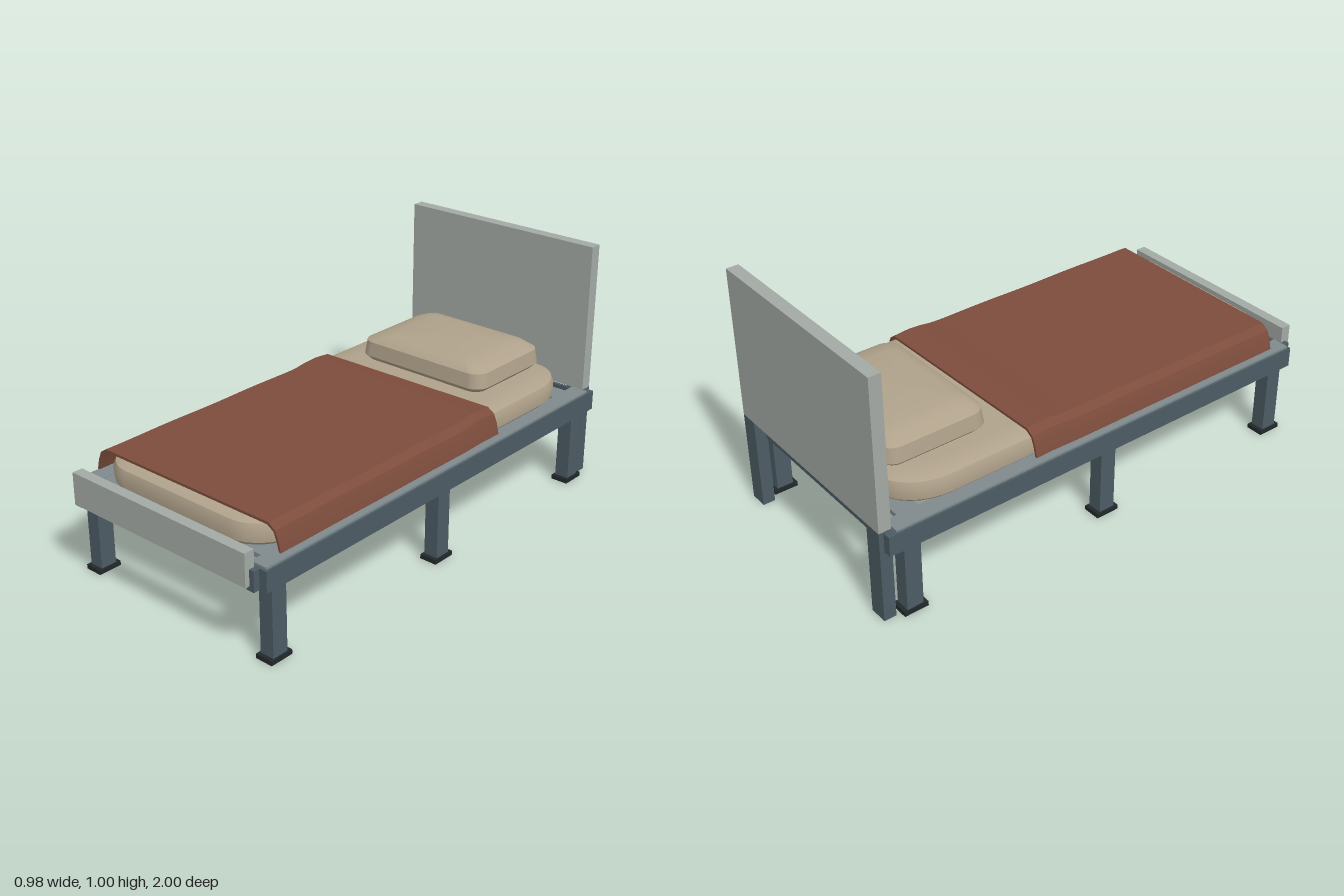
import * as THREE from 'three';
import { toCreasedNormals } from 'three/addons/utils/BufferGeometryUtils.js';

const mat = (name, color, side = THREE.FrontSide) => {
  const m = new THREE.MeshStandardMaterial({ color, side });
  m.name = name;
  return m;
};

// Stack of rounded rectangles; each level is [y, halfWidth, halfDepth, cornerX, cornerZ]
function cushionGeometry(levels, steps = 8) {
  const pos = [], idx = [], n = 4 * (steps + 1);
  for (const [y, hw, hd, cx, cz] of levels) {
    for (let q = 0; q < 4; q++) {
      const sx = q === 0 || q === 3 ? 1 : -1, sz = q < 2 ? 1 : -1;
      for (let i = 0; i <= steps; i++) {
        const a = (q + i / steps) * Math.PI / 2;
        pos.push(sx * (hw - cx) + cx * Math.cos(a), y, sz * (hd - cz) + cz * Math.sin(a));
      }
    }
  }
  const last = (levels.length - 1) * n, bottom = levels.length * n, top = bottom + 1;
  pos.push(0, levels[0][0], 0, 0, levels[levels.length - 1][0], 0);
  for (let i = 0; i < n; i++) {
    const j = (i + 1) % n;
    for (let l = 0; l < last; l += n) idx.push(l + i, l + n + i, l + j, l + j, l + n + i, l + n + j);
    idx.push(bottom, i, j, top, last + j, last + i);
  }
  const g = new THREE.BufferGeometry();
  g.setAttribute('position', new THREE.Float32BufferAttribute(pos, 3));
  g.setIndex(idx);
  return toCreasedNormals(g, 0.6);
}

// Thin sheet draped over the mattress, with a soft fold near the head end
function blanketGeometry() {
  const outer = [[0.465, 0.398], [0.455, 0.44], [0.44, 0.475], [0.41, 0.495]];
  const inner = [[0.403, 0.485], [0.432, 0.468], [0.445, 0.437], [0.456, 0.398]];
  const flip = (p) => p.map(([x, y]) => [-x, y]).reverse();
  const pts = [...outer, ...flip(outer), ...flip(inner), ...inner];
  const shape = new THREE.Shape(pts.map(([x, y]) => new THREE.Vector2(x, y)));
  const z0 = -0.34, z1 = 0.862;
  const g = new THREE.ExtrudeGeometry(shape, { depth: z1 - z0, steps: 30, bevelEnabled: false });
  const p = g.attributes.position;
  for (let i = 0; i < p.count; i++) {
    const x = p.getX(i), z = p.getZ(i) + z0;
    const lift = 0.01 * Math.exp(-(((z + 0.25) / 0.07) ** 2)) + 0.001 * Math.sin(z * 14);
    const slant = z < -0.3 ? -0.015 * x : 0;
    p.setXYZ(i, x, p.getY(i) + lift * (p.getY(i) > 0.43 ? 1 : 0.3), z + slant);
  }
  return toCreasedNormals(g, 0.5);
}

export function createModel() {
  const bed = new THREE.Group();
  bed.name = 'singleBed';
  const panel = mat('pale grey panel', 0xa3aaa5);
  const frame = mat('slate frame', 0x4c5c64);
  const ledgeGrey = mat('mid grey slats', 0x7f8a8d);
  const rubber = mat('black feet', 0x22282a);
  const linen = mat('beige linen', 0xb0a28b);
  const wool = mat('rust blanket', 0x7c4c3c, THREE.DoubleSide);

  const add = (name, geometry, material) => {
    const m = new THREE.Mesh(geometry, material);
    m.name = name;
    bed.add(m);
    return m;
  };
  // Box given by its lower and upper limits on each axis
  const box = (name, material, x0, x1, y0, y1, z0, z1) => {
    add(name, new THREE.BoxGeometry(x1 - x0, y1 - y0, z1 - z0), material)
      .position.set((x0 + x1) / 2, (y0 + y1) / 2, (z0 + z1) / 2);
  };
  // Same box on both sides of x = 0
  const pair = (name, material, x0, x1, ...rest) => {
    box(name + 'Left', material, x0, x1, ...rest);
    box(name + 'Right', material, -x1, -x0, ...rest);
  };

  // Head and foot panels
  box('headboard', panel, -0.455, 0.455, 0.382, 1, -1, -0.95);
  box('footboard', panel, -0.435, 0.435, 0.315, 0.445, 0.957, 1);
  pair('headboardPost', frame, 0.38, 0.455, 0, 0.382, -1, -0.95);

  // Rails
  pair('sideRail', frame, 0.42, 0.488, 0.295, 0.378, -0.958, 0.955);
  pair('railLedge', ledgeGrey, 0.408, 0.48, 0.378, 0.386, -0.945, 0.945);
  for (const s of [-1, 1]) {
    const end = s < 0 ? 'head' : 'foot';
    box(end + 'Rail', frame, -0.42, 0.42, 0.295, 0.378, s * 0.948 - 0.007, s * 0.948 + 0.007);
    pair(end + 'Bracket', frame, 0.42, s < 0 ? 0.488 : 0.455, 0.297, 0.378, s * 0.967 - 0.014, s * 0.967 + 0.014);
  }

  // Legs with flat feet
  for (const z of [-0.882, 0, 0.885]) {
    pair('leg', frame, 0.415, 0.475, 0.018, 0.3, z - 0.034, z + 0.034);
    pair('foot', rubber, 0.408, 0.482, 0, 0.018, z - 0.05, z + 0.05);
  }

  // Slats
  const count = 10, width = 0.09;
  for (let i = 0; i < count; i++) {
    const z = -0.895 + i * (1.79 - width) / (count - 1);
    box('slat', ledgeGrey, -0.42, 0.42, 0.366, 0.384, z, z + width);
  }

  // Bedding
  add('mattress', cushionGeometry([
    [0.386, 0.42, 0.885, 0.16, 0.2],
    [0.4, 0.434, 0.897, 0.17, 0.21],
    [0.445, 0.437, 0.9, 0.17, 0.21],
    [0.47, 0.427, 0.89, 0.16, 0.2],
    [0.482, 0.4, 0.865, 0.14, 0.18],
    [0.485, 0.34, 0.8, 0.1, 0.14],
  ]), linen).position.z = 0.008;
  add('pillow', cushionGeometry([
    [0.484, 0.29, 0.2, 0.05, 0.05],
    [0.505, 0.311, 0.219, 0.06, 0.06],
    [0.565, 0.303, 0.212, 0.06, 0.06],
    [0.59, 0.25, 0.185, 0.05, 0.05],
    [0.597, 0.2, 0.15, 0.04, 0.04],
  ]), linen).position.z = -0.64;
  add('blanket', blanketGeometry(), wool);

  return bed;
}
